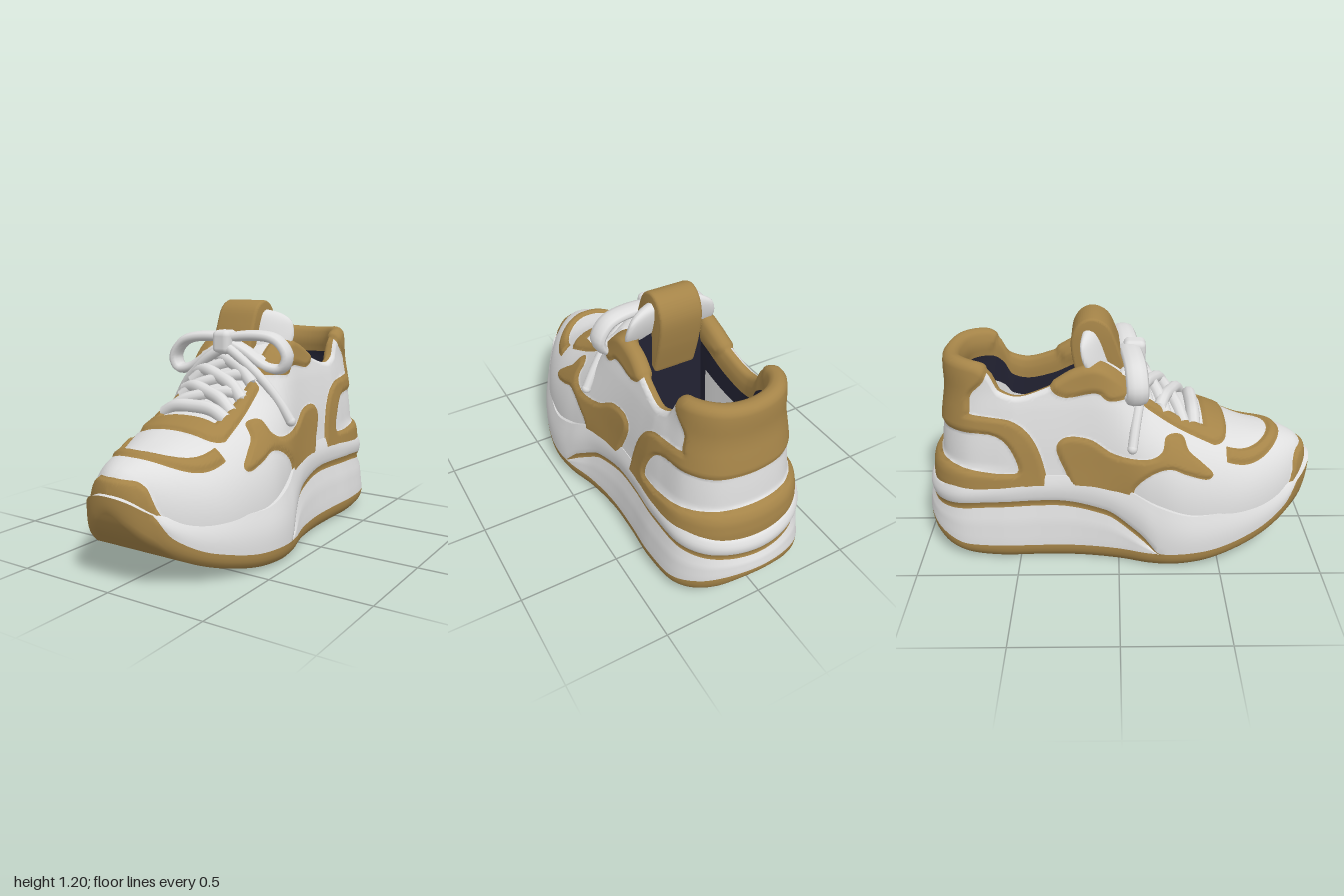
import * as THREE from 'three';
import { toCreasedNormals } from 'three/addons/utils/BufferGeometryUtils.js';
import { RoundedBoxGeometry } from 'three/addons/geometries/RoundedBoxGeometry.js';

const { lerp, clamp, smoothstep } = THREE.MathUtils;
const WHITE = 0, GOLD = 1, DARK = 2;

// Smooth monotone interpolation through [x, y] pairs, clamped at the ends
function table(p) {
  const n = p.length;
  const d = p.slice(1).map((q, i) => (q[1] - p[i][1]) / (q[0] - p[i][0]));
  const m = p.map((_, i) => i === 0 ? d[0] : i === n - 1 ? d[n - 2]
    : d[i - 1] * d[i] <= 0 ? 0 : 2 * d[i - 1] * d[i] / (d[i - 1] + d[i]));
  return x => {
    if (x <= p[0][0]) return p[0][1];
    if (x >= p[n - 1][0]) return p[n - 1][1];
    let i = 0;
    while (x > p[i + 1][0]) i++;
    const h = p[i + 1][0] - p[i][0], t = (x - p[i][0]) / h, s = 1 - t;
    return p[i][1] * (1 + 2 * t) * s * s + m[i] * h * t * s * s
      + p[i + 1][1] * t * t * (3 - 2 * t) - m[i + 1] * h * t * t * s;
  };
}

// Panel outline rounded through [z, y] points; gives the distance to its edge, positive inside
function panel(points) {
  const poly = new THREE.CatmullRomCurve3(points.map(([x, y]) => new THREE.Vector3(x, y, 0)), true).getPoints(90).slice(0, 90);
  return (x, y) => {
    let hit = false, best = Infinity;
    poly.forEach((a, i) => {
      const b = poly[(i + 1) % poly.length], ex = b.x - a.x, ey = b.y - a.y;
      const t = clamp(((x - a.x) * ex + (y - a.y) * ey) / (ex * ex + ey * ey), 0, 1);
      best = Math.min(best, Math.hypot(a.x + t * ex - x, a.y + t * ey - y));
      if ((a.y > y) !== (b.y > y) && x < ex * (y - a.y) / ey + a.x) hit = !hit;
    });
    return hit ? best : -best;
  };
}

// Closed plan outline from a half outline, running toe, left side, heel, right side
function planOutline(half, n) {
  const pts = half.map(([x, z]) => new THREE.Vector3(x, 0, z));
  const mirrored = half.slice(1, -1).reverse().map(([x, z]) => new THREE.Vector3(-x, 0, z));
  const curve = new THREE.CatmullRomCurve3([...pts, ...mirrored], true);
  curve.arcLengthDivisions = 1200;
  return curve.getSpacedPoints(n).slice(0, n);
}

// Closed rings stacked in rows. colour picks a material per cell; white cells are cut along
// field = 0, and the part with a positive field becomes a slightly raised gold panel
function loft(name, nI, nJ, point, colour, mats, field = () => -1) {
  const base = [], index = [], buckets = [[], [], []], cuts = new Map();
  const id = (i, j) => (i % nI) * (nJ + 1) + j;
  for (let i = 0; i < nI; i++) for (let j = 0; j <= nJ; j++) base.push(point(i, j));
  for (let i = 0; i < nI; i++) for (let j = 0; j < nJ; j++) {
    const [a, b, c, d] = [id(i, j), id(i + 1, j), id(i + 1, j + 1), id(i, j + 1)];
    index.push(a, b, c, a, c, d);
  }
  const g = new THREE.BufferGeometry().setFromPoints(base);
  g.setIndex(index);
  g.computeVertexNormals();
  const value = base.map(field), normal = new THREE.Vector3();
  const pos = base.map((v, k) => {
    normal.fromBufferAttribute(g.attributes.normal, k);
    if (Math.abs(v.x) < 1e-3) normal.x = 0;
    return v.clone().addScaledVector(normal, .013 * smoothstep(value[k], 0, .02));
  });
  const cut = (a, b) => {
    if (a > b) return cut(b, a);
    const key = a + '_' + b;
    if (!cuts.has(key)) {
      cuts.set(key, pos.length);
      pos.push(pos[a].clone().lerp(pos[b], value[a] / (value[a] - value[b])));
    }
    return cuts.get(key);
  };
  const centre = new THREE.Vector3();
  for (let k = 0; k < index.length; k += 3) {
    const t = index.slice(k, k + 3), cell = k - k % 6;
    centre.addVectors(base[index[cell]], base[index[cell + 2]]).multiplyScalar(.5);
    const mat = colour(centre, (cell / 6) % nJ + .5);
    if (mat !== WHITE) { buckets[mat].push(...t); continue; }
    [[WHITE, -1], [GOLD, 1]].forEach(([bucket, sign]) => {
      const piece = [];
      t.forEach((a, i) => {
        const b = t[(i + 1) % 3];
        if (sign * value[a] > 0 || (sign < 0 && value[a] === 0)) piece.push(a);
        if (value[a] * value[b] < 0) piece.push(cut(a, b));
      });
      for (let i = 2; i < piece.length; i++) buckets[bucket].push(piece[0], piece[i - 1], piece[i]);
    });
  }
  const out = new THREE.BufferGeometry().setFromPoints(pos);
  out.setIndex(buckets.flat());
  let start = 0;
  buckets.forEach((b, k) => { if (b.length) out.addGroup(start, b.length, k); start += b.length; });
  const mesh = new THREE.Mesh(toCreasedNormals(out, .9), mats);
  mesh.name = name;
  return mesh;
}

// Height curves along z
const soleBottom = table([[-1, .12], [-.95, .07], [-.85, .035], [-.6, .01], [0, 0], [.4, .015], [.6, .05], [.8, .12], [.92, .22], [.98, .3], [1, .35]]);
const outsoleTop = table([[-1, .18], [-.9, .13], [-.75, .09], [0, .08], [.41, .09], [.68, .145], [.85, .24], [.91, .345], [.955, .5], [1, .6]]);
const soleTop = table([[-1, .36], [-.9, .39], [-.6, .44], [-.39, .47], [-.18, .47], [-.02, .43], [.2, .33], [.41, .28], [.68, .29], [.9, .345], [1, .425]]);
const soleLine = table([[-1, .25], [-.61, .295], [-.34, .3], [-.07, .255], [.06, .175], [.2, .075]]);
const vampTop = table([[-.12, 1], [0, .955], [.15, .83], [.3, .73], [.5, .65], [.65, .59], [.8, .567], [.9, .53], [.935, .505], [.955, .475], [.968, .43]]);
const rimTop = table([[-.9, .985], [-.8, 1.005], [-.7, .998], [-.63, .96], [-.57, .872], [-.48, .845], [-.35, .88], [-.2, .96], [-.1, .985], [.15, .86]]);
const wallInset = table([[.4, 0], [.5, .012], [.62, .025], [.8, .055], [.9, .08], [1.03, .105]]);
const rollIn = table([[0, 0], [.1, .02], [.2, .05], [.3, .065], [.8, .05]]);
const rollUp = table([[0, 0], [.1, .016], [.2, .01], [.3, -.04], [.8, -.04]]);
const toeCapTop = table([[0, .495], [.09, .487], [.135, .46], [.19, .35], [.25, .235]]);

// Gold panels in side view, as [z, y]
const eyestay = panel([[.53, .6], [.53, .8], [.1, 1.2], [-.31, 1.2], [-.32, .9], [-.26, .86], [-.1, .88], [-.05, .845], [.1, .84], [.13, .77], [.18, .69], [.27, .63], [.4, .6]]);
const sidePanel = panel([[.46, .48], [.4, .54], [.34, .59], [.31, .65], [.23, .66], [.21, .6], [.15, .57], [-.02, .59], [-.14, .66], [-.26, .665], [-.3, .62], [-.26, .49], [-.22, .4], [.06, .33], [.08, .42], [.17, .5], [.25, .52], [.33, .49], [.44, .46]]);
const heelCounter = panel([[-.35, .2], [-.36, .5], [-.42, .67], [-.5, .745], [-.6, .765], [-1.1, .77], [-1.1, .69], [-.6, .675], [-.53, .62], [-.49, .49], [-.55, .48], [-1.1, .48], [-1.1, .2]]);
const heelCollar = panel([[-.61, 1.1], [-.63, .95], [-.7, .87], [-.725, .76], [-1.1, .75], [-1.1, 1.1]]);

function buildSole(mats) {
  const n = 300, bands = [4, 4, 2, 6];
  const outline = planOutline([[0, 1], [.11, .975], [.2, .905], [.28, .8], [.385, .6], [.445, .4], [.457, .27], [.44, .15], [.395, 0], [.365, -.2], [.365, -.4], [.375, -.6], [.35, -.8], [.27, -.91], [.15, -.975], [0, -1]], n);
  // rows: flat underside, outsole, lower midsole, line, upper midsole, top lip
  const rows = [0, .25, .5, .75].map(q => ({ q }));
  bands.forEach((count, band) => { for (let k = 0; k < count; k++) rows.push({ band, f: k / count }); });
  rows.push({ band: 3, f: 1 }, { lip: true });
  return loft('sole', n, rows.length - 1, (i, j) => {
    const p = outline[i], a = outline[(i + n - 1) % n], b = outline[(i + 1) % n], r = rows[j];
    const out = new THREE.Vector3(-(b.z - a.z), 0, b.x - a.x).normalize();
    const yB = soleBottom(p.z), yM = soleTop(p.z), yO = Math.min(outsoleTop(p.z), yM);
    const lo = clamp(soleLine(p.z), yO, yM), toe = 1 - .7 * smoothstep(p.z, .8, .97);
    const hi = Math.min(lo + .036 * (1 - smoothstep(p.z, .1, .22)), yM);
    if (r.q !== undefined) return new THREE.Vector3((p.x - out.x * .03 * toe) * r.q, yB, p.z - out.z * .03 * toe);
    if (r.lip) return new THREE.Vector3(p.x * .75, yM + .01, p.z * .93);
    const edge = [yB, yO, lo, hi, yM], height = edge[r.band + 1] - edge[r.band], y = edge[r.band] + height * r.f;
    let off = -.035 * toe * clamp((y - yO) / Math.max(yM - yO, .02), 0, 1);
    if (r.band === 0) off -= .03 * toe * Math.pow(1 - r.f, 3);
    if (r.band === 2) off -= .012 * Math.min(1, height / .03);
    if (r.band === 3) off += .012 * Math.sin(Math.PI * r.f) * Math.min(1, height / .08);
    return new THREE.Vector3(p.x + out.x * off, y, p.z + out.z * off);
  }, (c, j) => { const r = rows[Math.floor(j)]; return r.q !== undefined || r.band === 0 || r.band === 2 ? GOLD : WHITE; }, mats);
}

function buildUpper(mats) {
  const n = 400, rows = 80, F = .625, e = 2 / 2.3;
  const outline = planOutline([[0, .968], [.1, .945], [.19, .878], [.27, .775], [.36, .59], [.4, .42], [.408, .28], [.388, .15], [.355, 0], [.335, -.2], [.335, -.4], [.34, -.6], [.31, -.78], [.2, -.9], [0, -.945]], n);
  const point = (i, j) => {
    const p = outline[i], f = j / rows, fan = p.z < -.5;
    const oz = fan ? -.5 : p.z, rho0 = fan ? Math.hypot(p.x, p.z + .5) : Math.abs(p.x);
    const dx = fan ? p.x / rho0 : (p.x < 0 ? -1 : 1), dz = fan ? (p.z + .5) / rho0 : 0;
    const yb = soleTop(p.z) - .05, yr = rimTop(oz + dz * (rho0 - .09));
    const wall = s => {
      const y = lerp(yb, yr, s);
      return [rho0 - wallInset(y) + dz * .03 * smoothstep(y, .45, .53) * (1 - smoothstep(y, .8, 1)), y];
    };
    const arch = t => [rho0 * Math.pow(Math.max(Math.cos(t * Math.PI / 2), 0), e),
      yb + (vampTop(p.z) - yb) * Math.pow(Math.sin(t * Math.PI / 2), e)];
    const g = Math.max(0, (f - F) / (1 - F));
    let rho, y;
    if (p.z < -.15) {
      // open collar: wall, rolled rim, lining, footbed
      [rho, y] = wall(Math.min(f / F, 1));
      if (g > 0) {
        y = lerp(yr + rollUp(g), .42, clamp((g - .3) / .5, 0, 1));
        rho = (rho - rollIn(g)) * (1 - clamp((g - .8) / .2, 0, 1));
      }
    } else {
      // closed vamp, easing into the collar wall
      const w = 1 - smoothstep(p.z, -.15, .15), k = Math.min(f, F);
      const A = arch(k), B = wall(k / F), C = arch(f);
      rho = C[0] + (B[0] - A[0]) * w * (1 - g);
      y = C[1] + (B[1] - A[1]) * w * (1 - g);
    }
    return new THREE.Vector3(dx * rho, y, oz + dz * rho);
  };
  // gold edge of the collar opening, then dark lining with a white band above the footbed
  const colour = (c, j) => {
    const g = (j / rows - F) / (1 - F);
    if (c.z < -.14 && g > .36) return c.z < -.2 && g > .5 && g < .76 ? WHITE : DARK;
    return c.z < -.15 && g > .1 ? GOLD : WHITE;
  };
  const field = (v, k) => {
    const x = Math.abs(v.x), { y, z } = v;
    if (z < -.15 && k % (rows + 1) > rows * (F + .36 * (1 - F))) return -1;
    const ring = (a, b) => (x / a) ** 2 + ((z - .48) / b) ** 2;
    const toeCap = Math.min(toeCapTop(x) - y, z - .8);
    const toeBand = Math.min((1 - ring(.295, .35)) * .14, (ring(.235, .285) - 1) * .14, z - .53);
    const throat = Math.max(x - .155, z - .42), outer = Math.max(.2 + .1 * z - x, .1 - z);
    return Math.max(toeCap, toeBand, Math.min(eyestay(z, y), throat, outer),
      Math.min(sidePanel(z, y), x - .2), heelCounter(z, y), heelCollar(z, y));
  };
  return loft('upper', n, rows, point, colour, mats, field);
}

function buildTongue(mats) {
  const group = new THREE.Group();
  group.name = 'tongue';
  const width = table([[.75, .16], [.9, .2], [1.02, .24], [1.09, .225], [1.14, .16], [1.17, 0]]);
  const thick = table([[.75, .05], [1.05, .055], [1.13, .045], [1.17, 0]]);
  const lean = table([[.75, .05], [1, -.08], [1.17, -.13]]);
  group.add(loft('tonguePadding', 48, 24, (i, j) => {
    const a = i / 48 * Math.PI * 2, y = .75 + .42 * Math.sin(j / 24 * Math.PI / 2), x = width(y) * Math.sin(a);
    return new THREE.Vector3(x, y, lean(y) + thick(y) * Math.cos(a) - 1.2 * x * x);
  }, () => WHITE, mats));
  // pull tab folded over the top
  const shape = new THREE.Shape().moveTo(.03, .93);
  shape.splineThru([[-.02, 1.08], [-.06, 1.16], [-.125, 1.19], [-.185, 1.16], [-.215, 1.08], [-.2, .95], [-.16, .8]].map(p => new THREE.Vector2(...p)));
  const tab = new THREE.ExtrudeGeometry(shape, { depth: .19, bevelSize: .012, bevelThickness: .018, bevelSegments: 3, curveSegments: 30 });
  tab.translate(0, 0, -.075).rotateY(-Math.PI / 2);
  const mesh = new THREE.Mesh(toCreasedNormals(tab, .7), mats[GOLD]);
  mesh.name = 'pullTab';
  group.add(mesh);
  return group;
}

function buildLaces(mat) {
  const group = new THREE.Group();
  group.name = 'laces';
  const add = (name, geo) => { const m = new THREE.Mesh(geo, mat); m.name = name; group.add(m); };
  const tube = (pts, r, closed = false) => new THREE.TubeGeometry(
    new THREE.CatmullRomCurve3(pts.map(p => new THREE.Vector3(...p)), closed), 40, r, 10, closed);
  // lace run across the throat from z0 to z1
  const strand = (z0, z1, side, lift) => [-1, -.6, 0, .6, 1].map(t => {
    const x = .18 * t * side, z = lerp(z0, z1, (t + 1) / 2);
    return [x, vampTop(z) - .7 * x * x + lift - (Math.abs(t) === 1 ? .025 : 0), z];
  });
  add('lowestLace', tube(strand(.37, .37, 1, .015), .034));
  [[.32, .2], [.23, .1], [.14, .02]].forEach(([a, b]) => {
    add('crossedLace', tube(strand(a, b, 1, .005), .032));
    add('crossedLace', tube(strand(a, b, -1, .018), .032));
  });
  // bow
  add('bowKnot', new RoundedBoxGeometry(.1, .12, .11, 4, .03).translate(-.02, 1, .08));
  [-1, 1].forEach(s => {
    const drop = s < 0 ? -.02 : 0;
    const loop = tube([[0, 1.01, 0], [.14, 1.035, 0], [.26, 1.015, 0], [.315, .94, 0], [.29, .88, 0], [.22, .88, 0], [.1, .95, 0]]
      .map(([x, y, z]) => [x * s - .01, y + drop * x * 4, z]), .027, true);
    add('bowLoop', loop.scale(1, 1, 2).rotateY(.12).translate(0, 0, .05));
    add('laceEnd', tube([[0, .98, .1], [.1 * s, .92, .11], [.22 * s, .82, .1], [.3 * s, .72, .08], [.355 * s, .63, .065]], .024));
    add('laceTip', new THREE.SphereGeometry(.025, 12, 8).translate(.355 * s, .63, .065));
  });
  return group;
}

export function createModel() {
  const mats = [['white', 0xdedede], ['gold', 0xa58448], ['darkLining', 0x222232]].map(([name, color]) => {
    const m = new THREE.MeshStandardMaterial({ color });
    m.name = name;
    return m;
  });
  const shoe = new THREE.Group();
  shoe.name = 'shoe';
  shoe.add(buildSole(mats), buildUpper(mats), buildTongue(mats), buildLaces(mats[WHITE]));
  return shoe;
}
